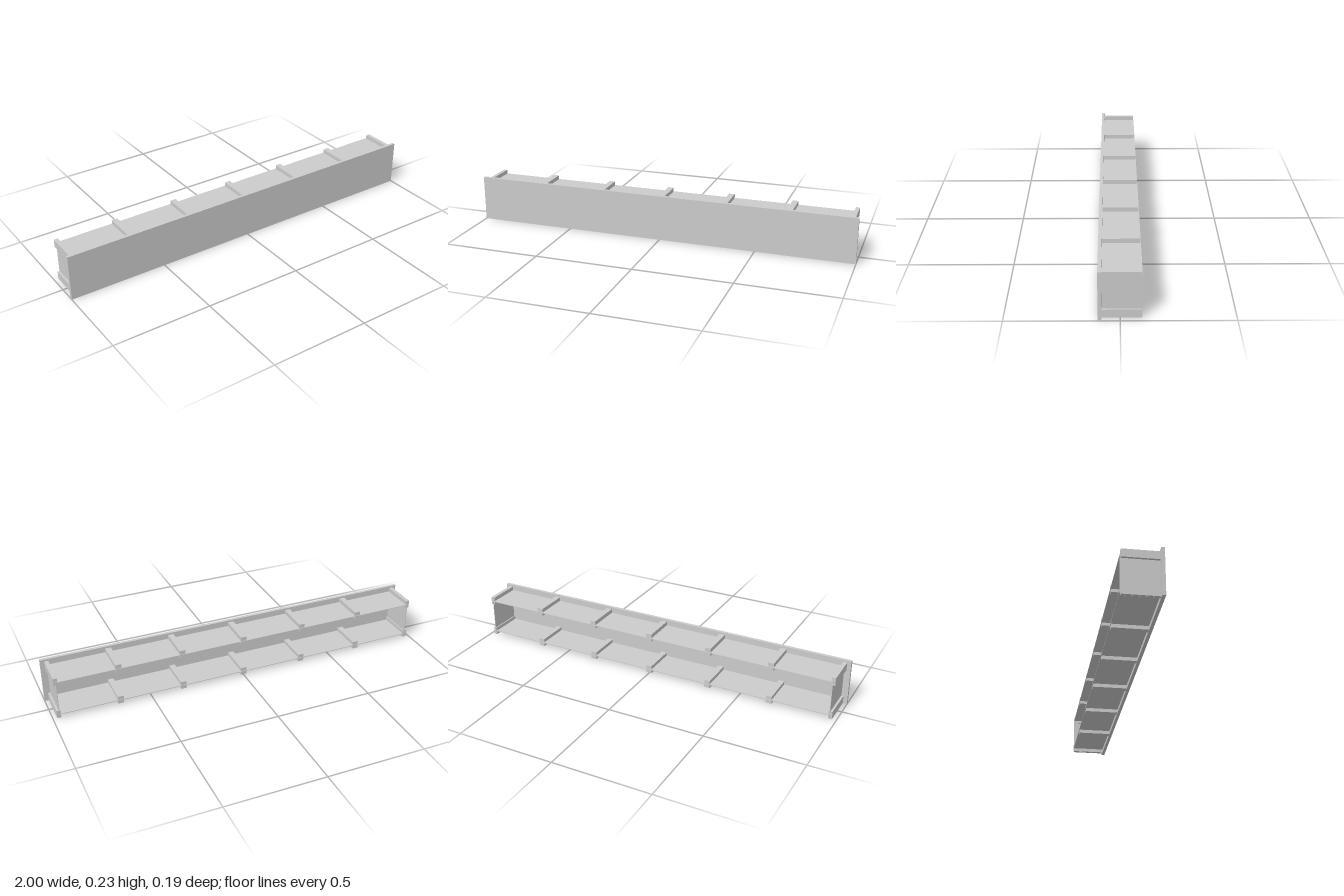
import * as THREE from 'three';

const grey = new THREE.MeshStandardMaterial({ color: 0xcccccc });

// Box given by its lower and upper limits on each axis
function box(name, [x0, x1], [y0, y1], [z0, z1]) {
  const mesh = new THREE.Mesh(new THREE.BoxGeometry(x1 - x0, y1 - y0, z1 - z0), grey);
  mesh.position.set((x0 + x1) / 2, (y0 + y1) / 2, (z0 + z1) / 2);
  mesh.name = name;
  return mesh;
}

export function createModel() {
  const model = new THREE.Group();
  model.name = 'ribbedFascia';
  const sheetZ = [-0.095, 0.08];
  const ribZ = [-0.092, 0.08];

  // Tall front board
  model.add(box('frontPanel', [-1, 1], [0, 0.235], [0.08, 0.096]));

  // Thin upper and lower sheets
  model.add(box('upperShelf', [-0.969, 0.969], [0.201, 0.204], sheetZ));
  model.add(box('lowerShelf', [-0.969, 0.969], [0.022, 0.025], sheetZ));

  // Thin end sheets
  for (const s of [-1, 1]) {
    const x = s * 0.9675;
    model.add(box(s > 0 ? 'leftEndPanel' : 'rightEndPanel', [x - 0.0015, x + 0.0015], [0.003, 0.204], sheetZ));
  }

  // Ribs straddling both sheets; the end ones are narrower
  for (let i = -3; i <= 3; i++) {
    const end = Math.abs(i) === 3;
    const x = end ? Math.sign(i) * 0.97 : i * 0.33;
    const half = end ? 0.01 : 0.015;
    model.add(box('upperRib', [x - half, x + half], [0.185, 0.225], ribZ));
    model.add(box('lowerRib', [x - half, x + half], [0.0035, 0.043], ribZ));
  }
  return model;
}
